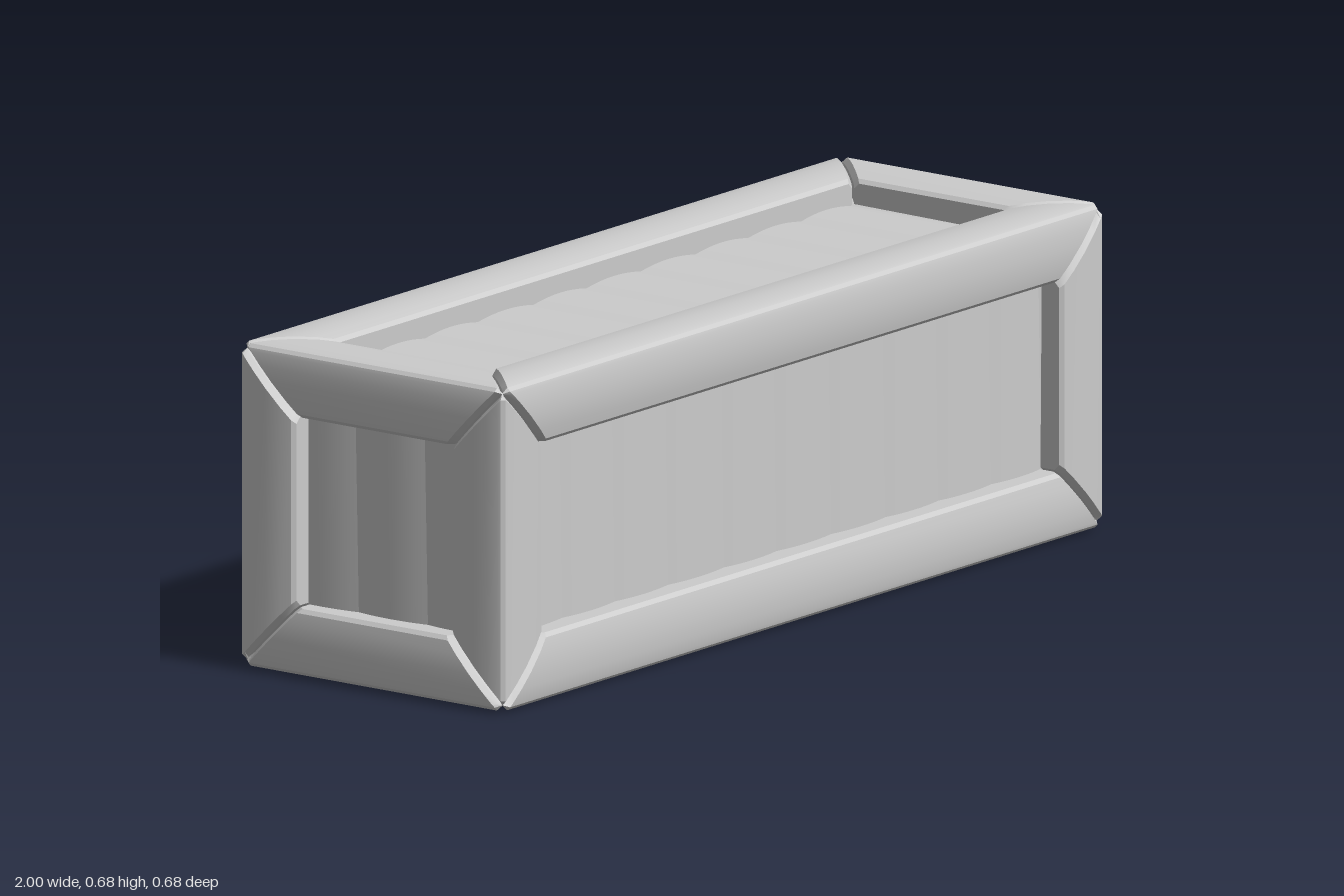
import * as THREE from 'three';
import { toCreasedNormals } from 'three/addons/utils/BufferGeometryUtils.js';

const HALF = [1, 0.34, 0.34];   // half sizes of the crate in x, y, z
const W = 0.142;                // visible width of a frame beam
const D = 0.07;                 // depth to which the beams reach

// Beam cross-section as [depth below face A, depth below face B], round the outer edge
const half = [[D, W], [0.016, W], [0.008, W - 0.008], [0.003, 0.11], [0, 0.075], [0.001, 0.045], [0.004, 0.02], [0.006, 0.013]];
const PROFILE = [...half, ...half.map(([a, b]) => [b, a]).reverse(), [D, D]];

// Mitred beam along one edge of the crate, with chamfered ends
function beamGeometry(axis, sA, sB) {
  const iA = (axis + 1) % 3, iB = (axis + 2) % 3;
  const dir = sA * sB; // keeps the sweep right-handed
  const chamfered = PROFILE.map(([a, b]) => {
    const m = Math.min(Math.min(a, b) + 0.012, D);
    return [Math.max(a, m), Math.max(b, m)];
  });
  const ring = (profile, end, gap) => profile.map(([a, b], j) => {
    const p = [0, 0, 0];
    p[iA] = sA * (HALF[iA] - a);
    p[iB] = sB * (HALF[iB] - b);
    p[axis] = end * dir * (HALF[axis] - Math.max(...PROFILE[j]) - gap);
    return p;
  });
  const rings = [ring(chamfered, -1, 0.003), ring(PROFILE, -1, 0.015), ring(PROFILE, 1, 0.015), ring(chamfered, 1, 0.003)];
  const pos = [], n = PROFILE.length;
  const tri = (...pts) => pts.forEach((p) => pos.push(...p));
  for (let r = 0; r < 3; r++) {
    for (let j = 0; j < n; j++) {
      const k = (j + 1) % n, lo = rings[r], hi = rings[r + 1];
      tri(lo[j], lo[k], hi[k]);
      tri(lo[j], hi[k], hi[j]);
    }
  }
  for (let j = 0; j < n - 2; j++) {
    tri(rings[0][n - 1], rings[0][j + 1], rings[0][j]);
    tri(rings[3][n - 1], rings[3][j], rings[3][j + 1]);
  }
  const g = new THREE.BufferGeometry();
  g.setAttribute('position', new THREE.Float32BufferAttribute(pos, 3));
  return toCreasedNormals(g, 0.45);
}

// Gently bulged plank between two slightly slanted seams, front face at z = 0
function plankGeometry(x0, x1, height) {
  const w = x1 - x0, thick = 0.04;
  const g = new THREE.BoxGeometry(w, height, thick, 8, 1, 1);
  const p = g.attributes.position;
  for (let i = 0; i < p.count; i++) {
    const x = p.getX(i), y = p.getY(i), u = (2 * x) / w;
    p.setX(i, x + (x0 + x1) / 2 - 0.02 * y);
    p.setZ(i, p.getZ(i) - thick / 2 - 0.008 * u * u);
  }
  return toCreasedNormals(g, 0.45);
}

function plankPanel(seams, height, depth, material) {
  const panel = new THREE.Group();
  for (let i = 0; i < seams.length - 1; i++) {
    const plank = new THREE.Mesh(plankGeometry(seams[i], seams[i + 1], height), material);
    plank.name = 'plank';
    plank.position.z = depth;
    panel.add(plank);
  }
  return panel;
}

export function createModel() {
  const material = new THREE.MeshStandardMaterial({ color: 0xcccccc });
  material.name = 'plain grey';
  const model = new THREE.Group();
  model.name = 'crate';
  const crate = new THREE.Group();
  crate.name = 'crateBody';
  crate.position.y = HALF[1];
  model.add(crate);

  // Twelve edge beams
  const frame = new THREE.Group();
  frame.name = 'frame';
  crate.add(frame);
  const names = ['longBeam', 'cornerPost', 'crossBeam'];
  for (let axis = 0; axis < 3; axis++) {
    for (const sA of [-1, 1]) for (const sB of [-1, 1]) {
      const beam = new THREE.Mesh(beamGeometry(axis, sA, sB), material);
      beam.name = names[axis];
      frame.add(beam);
    }
  }

  // Four long panels of planks
  const longSeams = [-0.92, -0.73, -0.555, -0.38, -0.195, -0.02, 0.16, 0.34, 0.515, 0.69, 0.855, 0.92];
  ['frontPanel', 'bottomPanel', 'backPanel', 'topPanel'].forEach((name, i) => {
    const panel = plankPanel(longSeams, 0.52, HALF[2] - 0.055, material);
    panel.name = name;
    panel.rotation.x = (i * Math.PI) / 2;
    crate.add(panel);
  });

  // Two end panels
  for (const s of [-1, 1]) {
    const panel = plankPanel([-0.26, -0.08, 0.095, 0.26], 0.52, HALF[0] - 0.055, material);
    panel.name = s > 0 ? 'leftEndPanel' : 'rightEndPanel';
    panel.rotation.y = (s * Math.PI) / 2;
    crate.add(panel);
  }

  // Solid core behind the planks
  const core = new THREE.Mesh(new THREE.BoxGeometry(1.84, 0.52, 0.52), material);
  core.name = 'core';
  crate.add(core);
  return model;
}
